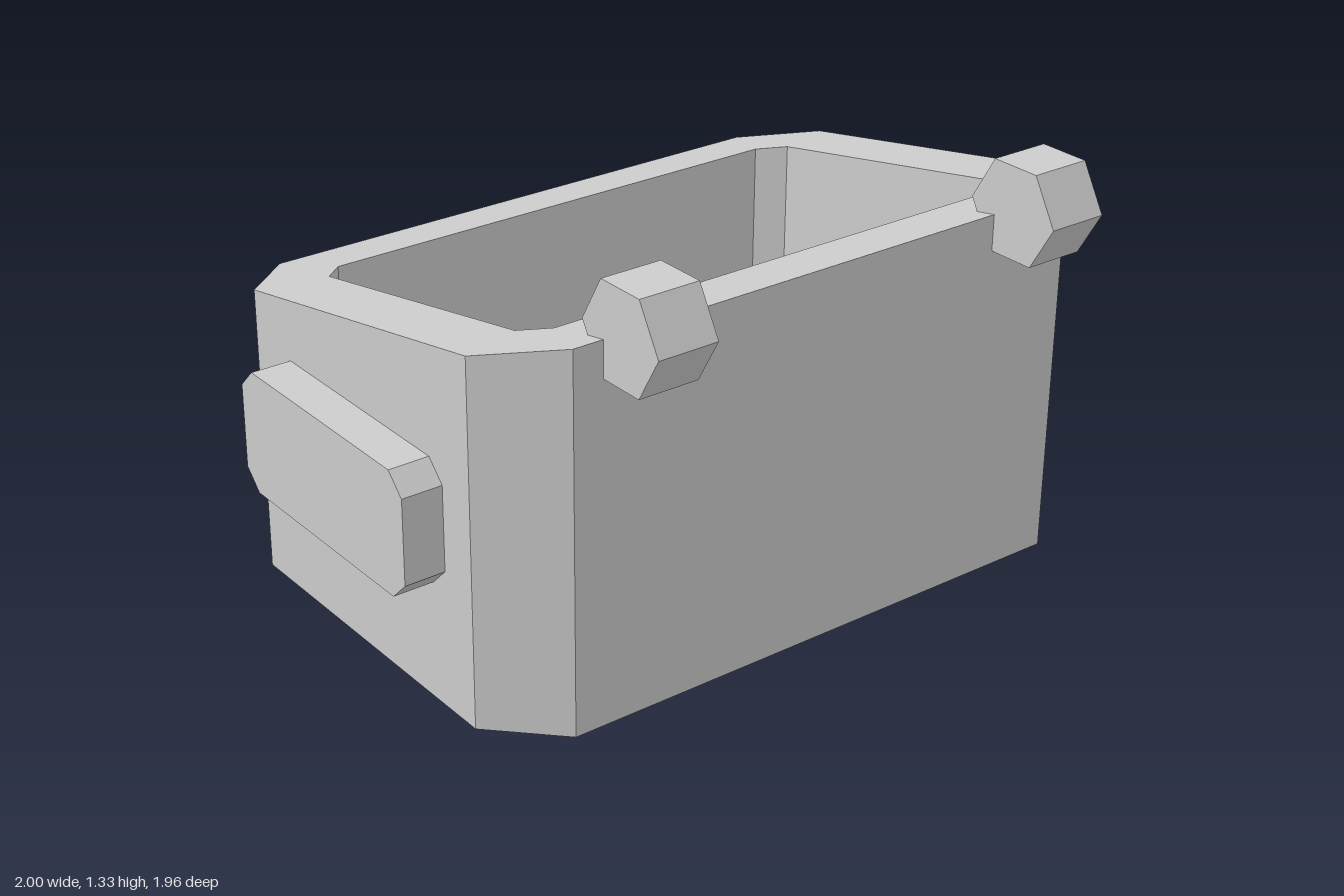
import * as THREE from 'three';

const metal = new THREE.MeshStandardMaterial({ color: 0xcccccc, flatShading: true });
metal.name = 'light grey metal';

const BASE = 0.245;
const SLOPE = 0.195;
const rimHeight = (x) => 1.04 + SLOPE * x;
const floorHeight = (x) => rimHeight(x) - 0.53;

// Rectangle with clipped corners, given half sizes and the clip length
function clippedPoints(cx, hw, hh, c) {
  return [
    [hw - c, -hh], [hw, c - hh], [hw, hh - c], [hw - c, hh],
    [c - hw, hh], [-hw, hh - c], [-hw, c - hh], [c - hw, -hh],
  ].map(([x, y]) => new THREE.Vector2(cx + x, y));
}

function addMesh(group, geometry, name) {
  const mesh = new THREE.Mesh(geometry, metal);
  mesh.name = name;
  group.add(mesh);
  return mesh;
}

// Upright extrusion of a footprint whose top follows a height rule
function slopedPrism(shape, heightAt) {
  const geo = new THREE.ExtrudeGeometry(shape, { depth: 1, bevelEnabled: false });
  geo.rotateX(-Math.PI / 2);
  const p = geo.attributes.position;
  for (let i = 0; i < p.count; i++) {
    p.setY(i, p.getY(i) > 0.5 ? heightAt(p.getX(i)) : BASE);
  }
  geo.computeVertexNormals();
  return geo;
}

function panelGeometry(hw, hh, depth) {
  const shape = new THREE.Shape(clippedPoints(0, hw, hh, 0.05));
  return new THREE.ExtrudeGeometry(shape, { depth, bevelEnabled: false });
}

// Sloping tongue: side profiles joined across its width, with bevelled outer corners
function tongueGeometry(zMin, zMax) {
  const shared = [[-0.72, 0.219], [-0.3, 0.302], [0.3, 0.302], [0.3, 0.261]];
  const inner = [[-0.985, 0.005], [-1, 0.055], [-0.915, 0.181], [-0.77, 0.209], ...shared];
  const outer = [[-0.945, 0.013], [-0.95, 0.045], [-0.89, 0.13], [-0.78, 0.155], ...shared];
  const sections = [
    [outer, zMin], [inner, zMin + 0.05], [inner, zMax - 0.05], [outer, zMax],
  ];
  const n = inner.length;
  const pos = [];
  const idx = [];
  for (const [profile, z] of sections) for (const [x, y] of profile) pos.push(x, y, z);
  for (let s = 0; s < 3; s++) {
    for (let i = 0; i < n; i++) {
      const j = (i + 1) % n;
      const a = s * n + i, b = s * n + j, c = a + n, d = b + n;
      if (s === 2) idx.push(a, c, d, a, d, b);
      else idx.push(a, c, b, b, c, d);
    }
  }
  // end caps
  const contour = outer.map(([x, y]) => new THREE.Vector2(x, y));
  const clockwise = THREE.ShapeUtils.isClockWise(contour);
  for (const [a, b, c] of THREE.ShapeUtils.triangulateShape(contour, [])) {
    const p = contour[a], q = contour[b], r = contour[c];
    const ccw = (q.x - p.x) * (r.y - p.y) - (q.y - p.y) * (r.x - p.x) > 0;
    const [u, v] = ccw ? [b, c] : [c, b];
    const o = 3 * n;
    idx.push(a + o, u + o, v + o, a, v, u);
  }
  if (!clockwise) throw new Error('profile must run clockwise');
  const geo = new THREE.BufferGeometry();
  geo.setAttribute('position', new THREE.Float32BufferAttribute(pos, 3));
  geo.setIndex(idx);
  const flat = geo.toNonIndexed();
  flat.computeVertexNormals();
  return flat;
}

export function createModel() {
  const model = new THREE.Group();
  model.name = 'openBin';

  // Bin walls and the sloping inner floor
  const innerPoints = clippedPoints(0.2, 0.447, 0.708, 0.06);
  const walls = new THREE.Shape(clippedPoints(0.2, 0.61, 0.876, 0.16));
  walls.holes.push(new THREE.Path(innerPoints));
  addMesh(model, slopedPrism(walls, rimHeight), 'binWalls');
  addMesh(model, slopedPrism(new THREE.Shape(innerPoints), floorHeight), 'binFloor');

  // Raised panels and hexagonal hinge knobs on both sides
  for (const side of [1, -1]) {
    const label = side > 0 ? 'front' : 'back';
    const panel = addMesh(model, panelGeometry(0.345, 0.158, 0.12), label + 'Panel');
    panel.position.set(0.2, 0.708, side > 0 ? 0.86 : -0.98);

    const hex = new THREE.CylinderGeometry(0.131, 0.131, 0.156, 6);
    hex.rotateY(Math.PI / 2).rotateX(Math.PI / 2);
    const knob = addMesh(model, hex, label + 'HingeKnob');
    knob.position.set(0.866, 1.22, side * 0.56);
  }

  // Wide panel on the low side
  const widePanel = addMesh(model, panelGeometry(0.608, 0.158, 0.07), 'widePanel');
  widePanel.rotation.y = -Math.PI / 2;
  widePanel.position.set(-0.39, 0.562, 0);

  // Tongue sloping out from under the bin
  addMesh(model, tongueGeometry(-0.517, 0.358), 'tongue');

  return model;
}
